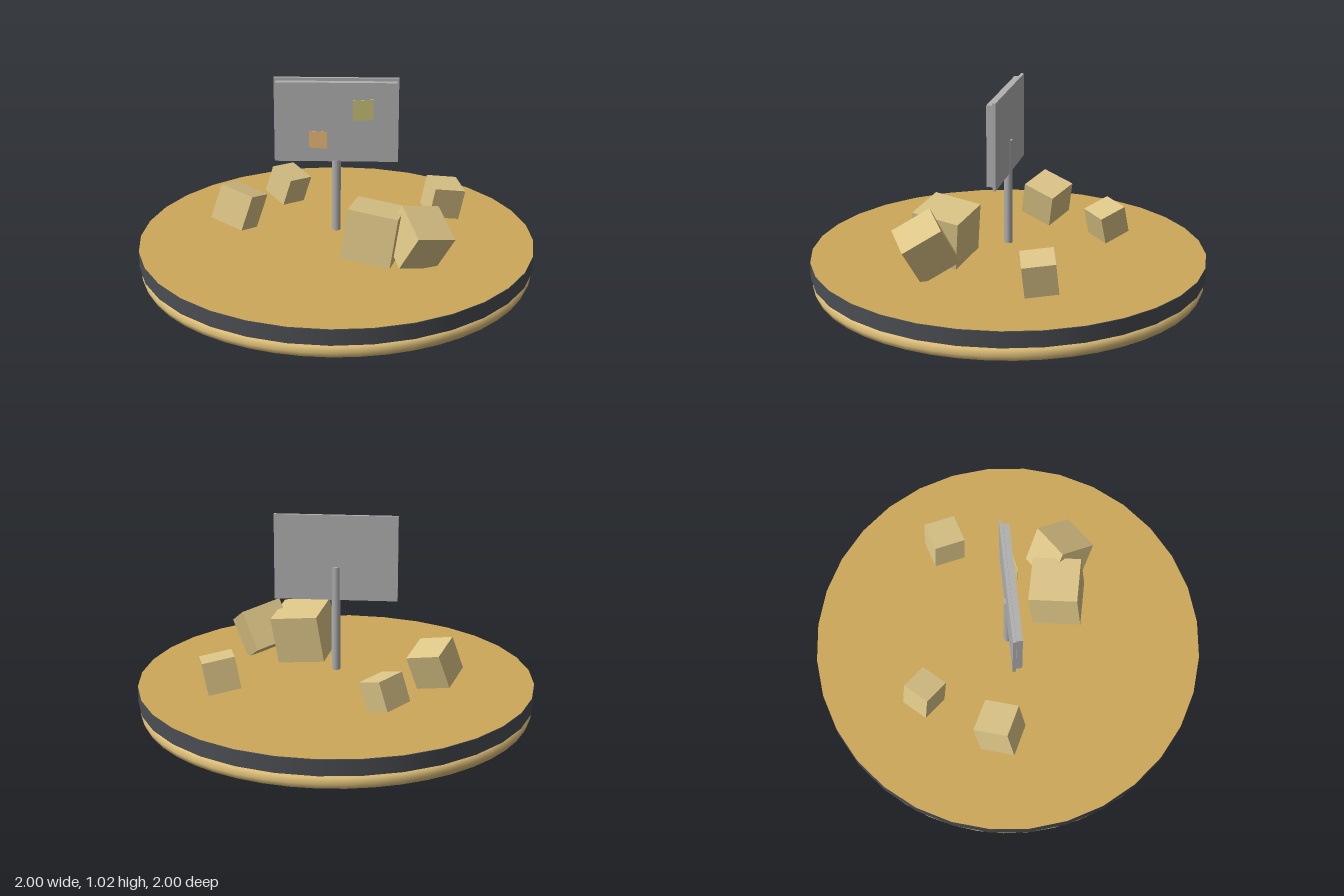
import * as THREE from 'three';

const mat = (color, extra = {}) => new THREE.MeshStandardMaterial({ color, ...extra });

function add(parent, name, geometry, material, x = 0, y = 0, z = 0) {
  const mesh = new THREE.Mesh(geometry, material);
  mesh.name = name;
  mesh.position.set(x, y, z);
  parent.add(mesh);
  return mesh;
}

// Tumbled cube: oriented by its own right and up directions
function addCube(parent, name, material, { size, at, right, up }) {
  const x = new THREE.Vector3(...right).normalize();
  const z = new THREE.Vector3().crossVectors(x, new THREE.Vector3(...up)).normalize();
  const y = new THREE.Vector3().crossVectors(z, x);
  const cube = add(parent, name, new THREE.BoxGeometry(size, size, size), material, ...at);
  cube.quaternion.setFromRotationMatrix(new THREE.Matrix4().makeBasis(x, y, z));
}

export function createModel() {
  const model = new THREE.Group();
  model.name = 'noticeBoardDisplay';

  const dark = mat(0x4a4d52);
  const sand = mat(0xcca85a);
  const gold = mat(0xdcbd78);
  const stone = mat(0xdcc587);
  const grey = mat(0xb0b0b0);

  // Round base: dark slab, sand top, and a trim ring underneath
  const base = new THREE.Group();
  base.name = 'base';
  model.add(base);
  add(base, 'slab', new THREE.CylinderGeometry(1, 1, 0.08, 32), dark, 0, 0.12, 0);
  const top = add(base, 'sandTop', new THREE.CircleGeometry(1, 32), sand, 0, 0.163, 0);
  top.rotation.x = -Math.PI / 2;
  const ring = add(base, 'trimRing', new THREE.TorusGeometry(0.955, 0.036, 8, 48), gold, 0, 0.036, 0);
  ring.rotation.x = Math.PI / 2;

  // Sign: pole, backing board, front panel
  const sign = new THREE.Group();
  sign.name = 'sign';
  model.add(sign);
  add(sign, 'pole', new THREE.CylinderGeometry(0.022, 0.022, 0.54, 8), grey, 0, 0.485, 0);
  add(sign, 'backBoard', new THREE.BoxGeometry(0.615, 0.435, 0.016), grey, 0, 0.802, -0.002);
  add(sign, 'frontPanel', new THREE.BoxGeometry(0.595, 0.405, 0.03), grey, 0, 0.803, 0.023);

  // Paper notes, each swung a little off the panel
  const notes = [
    ['yellowNote', 0xd6cf80, 0.108, 0.105, [0.135, 0.868, 0.046], 0.2],
    ['orangeNote', 0xe0b070, 0.09, 0.087, [-0.09, 0.712, 0.044], -0.15],
  ];
  for (const [name, color, w, h, at, turn] of notes) {
    const paper = mat(color, { side: THREE.DoubleSide });
    add(sign, name, new THREE.BoxGeometry(w, h, 0.003), paper, ...at).rotation.y = turn;
  }

  // Tumbled cubes scattered on the sand
  const cubes = [
    { size: 0.25, at: [0.19, 0.32, 0.275], right: [0.97, -0.128, 0.21], up: [0.128, 0.984, -0.095] },
    { size: 0.215, at: [0.41, 0.313, 0.315], right: [35, -9, -21], up: [17, 33, 12] },
    { size: 0.182, at: [-0.5, 0.297, -0.095], right: [32, -8, 15], up: [10, 30, -5] },
    { size: 0.15, at: [-0.27, 0.278, -0.456], right: [18, -3, -19], up: [7, 25, 3.5] },
    { size: 0.163, at: [0.548, 0.283, -0.277], right: [28, -5, -8], up: [5.5, 30, 2] },
  ];
  cubes.forEach((cube, i) => addCube(model, `cube${i + 1}`, stone, cube));

  return model;
}
